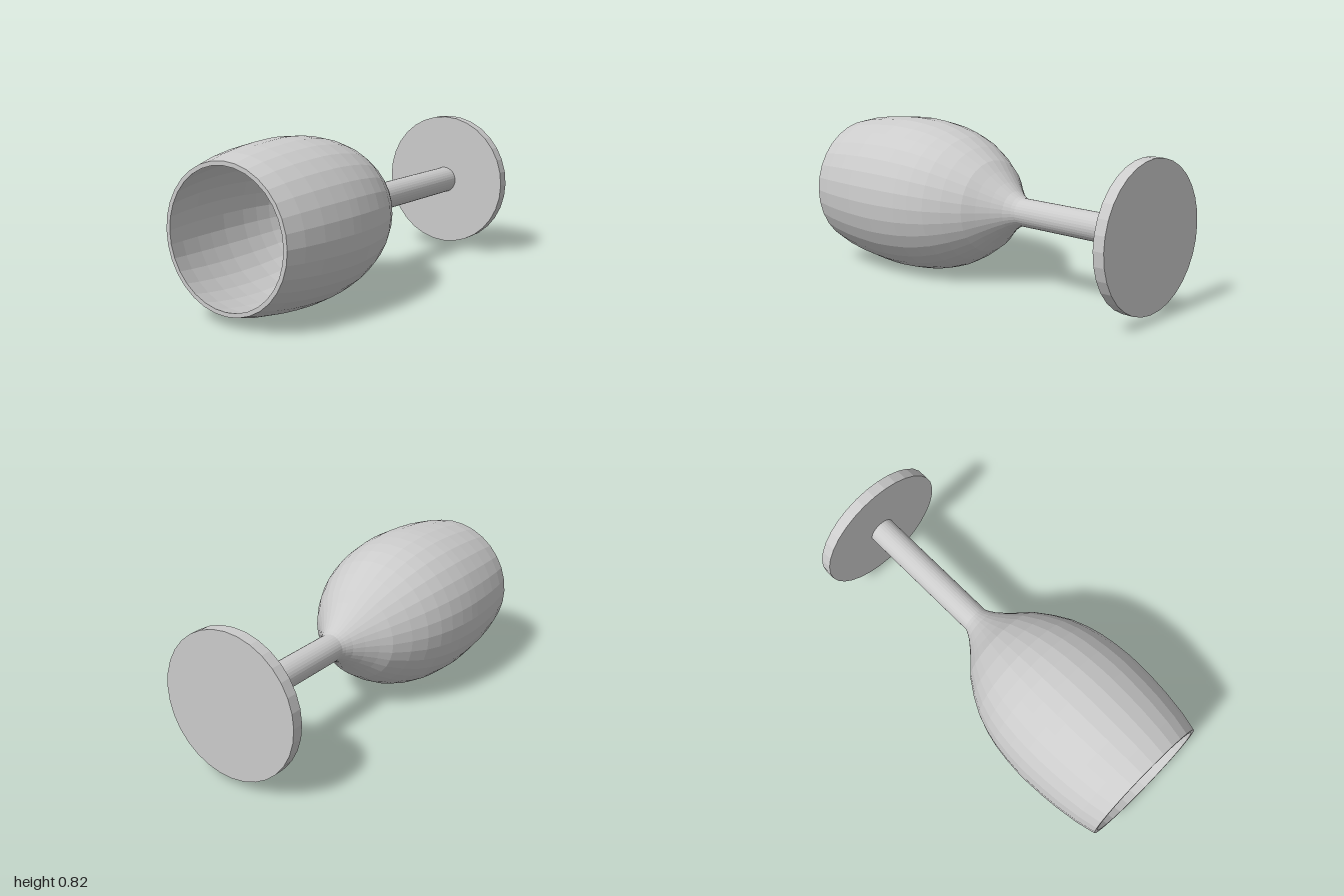
import * as THREE from 'three';

const SIDES = 32;
const AXIS_HEIGHT = 0.412;

// Goblet lying on its side: axis along z, mouth towards +z, foot at -z.
export function createModel() {
  const group = new THREE.Group();
  group.name = 'goblet';
  const material = new THREE.MeshStandardMaterial({ color: 0xcccccc, flatShading: true });

  // Profiles are drawn along y, then laid down so that y becomes z.
  const add = (name, geometry) => {
    geometry.rotateX(Math.PI / 2);
    geometry.translate(0, AXIS_HEIGHT, 0);
    const mesh = new THREE.Mesh(geometry, material);
    mesh.name = name;
    group.add(mesh);
  };
  const rod = (radius, from, to) =>
    new THREE.CylinderGeometry(radius, radius, to - from, SIDES).translate(0, (from + to) / 2, 0);

  // Bowl: [radius, position along axis], outside up to the rim, then inside down
  const outside = [
    [0.072, -0.21], [0.08, -0.19], [0.1, -0.155], [0.14, -0.105], [0.19, -0.05],
    [0.24, 0], [0.3, 0.09], [0.345, 0.175], [0.375, 0.26], [0.394, 0.34],
    [0.406, 0.43], [0.412, 0.52], [0.412, 0.58], [0.407, 0.68], [0.398, 0.78],
    [0.38, 0.9], [0.356, 1],
  ];
  const inside = [
    [0.335, 1], [0.358, 0.9], [0.376, 0.78], [0.385, 0.68], [0.39, 0.57],
    [0.384, 0.43], [0.372, 0.34], [0.354, 0.26], [0.325, 0.18], [0.265, 0.075],
    [0.185, -0.02], [0.14, -0.07], [0.088, -0.125], [0.06, -0.16], [0.035, -0.21], [0, -0.21],
  ];
  const profile = [...outside, ...inside].map(([r, y]) => new THREE.Vector2(r, y));
  add('bowl', new THREE.LatheGeometry(profile, SIDES));

  // Stem and foot
  add('stem', rod(0.072, -0.945, -0.21));
  add('foot', rod(0.37, -1, -0.94));

  return group;
}
